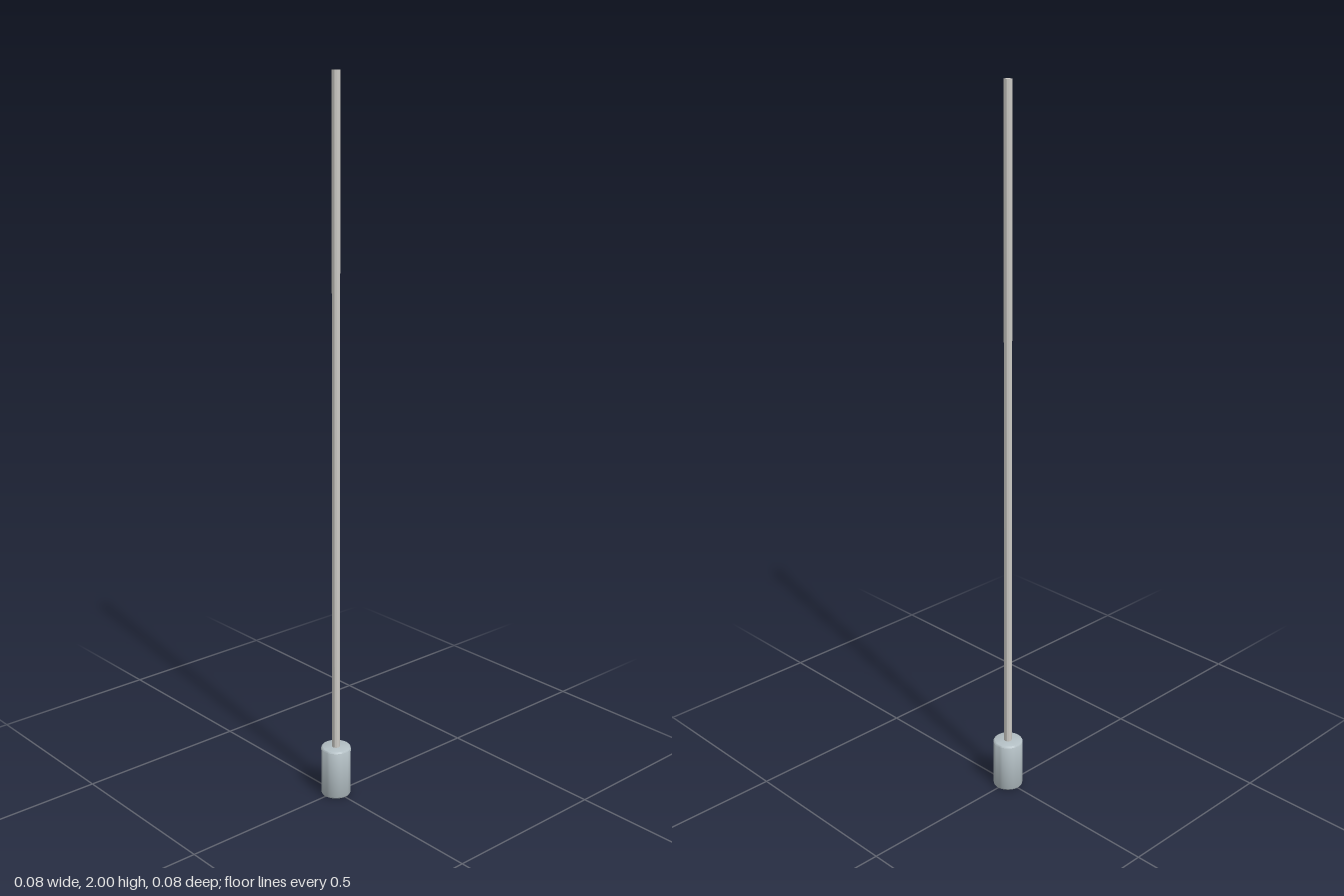
import * as THREE from 'three';
import { toCreasedNormals } from 'three/addons/utils/BufferGeometryUtils.js';

const SIDES = 32;

function lathePart(name, profile, color) {
  const points = profile.map(([r, y]) => new THREE.Vector2(r, y));
  const geometry = toCreasedNormals(new THREE.LatheGeometry(points, SIDES), Math.PI / 3.5);
  const mesh = new THREE.Mesh(geometry, new THREE.MeshStandardMaterial({ color }));
  mesh.name = name;
  return mesh;
}

export function createModel() {
  const group = new THREE.Group();
  group.name = 'weightedRod';

  // Solid weight with softly bevelled rims
  const radius = 0.042, height = 0.145, bevel = 0.004;
  group.add(lathePart('baseWeight', [
    [0, 0],
    [radius - bevel, 0],
    [radius - bevel * 0.3, bevel * 0.3],
    [radius, bevel],
    [radius, height - bevel],
    [radius - bevel * 0.3, height - bevel * 0.3],
    [radius - bevel, height],
    [0, height],
  ], 0xb4c0c5));

  // Long thin rod rising from the weight
  const rodRadius = 0.011;
  group.add(lathePart('rod', [
    [0, height - 0.01],
    [rodRadius, height - 0.01],
    [rodRadius, 2],
    [0, 2],
  ], 0xcccac5));

  return group;
}
